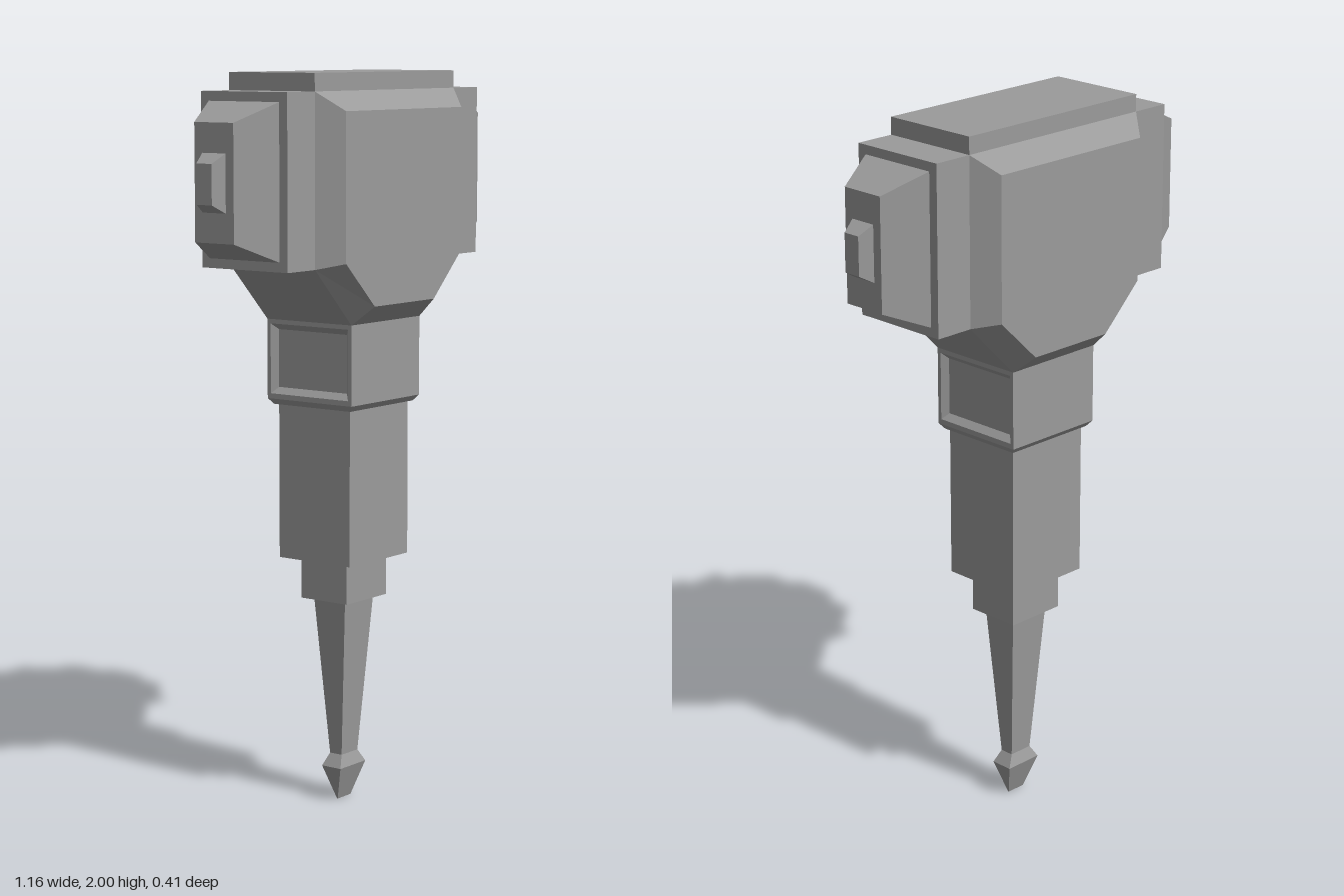
import * as THREE from 'three';

const material = new THREE.MeshStandardMaterial({ color: 0x9b9b9b, flatShading: true });

// Skin a series of counter-clockwise rings of [x, y, z] points, closing both ends.
function loft(name, rings) {
  const pos = [];
  const tri = (a, b, c) => pos.push(...a, ...b, ...c);
  const n = rings[0].length;
  for (let i = 0; i < rings.length - 1; i++) {
    const r = rings[i], s = rings[i + 1];
    for (let j = 0; j < n; j++) {
      const k = (j + 1) % n;
      tri(r[j], r[k], s[k]);
      tri(r[j], s[k], s[j]);
    }
  }
  const first = rings[0], last = rings[rings.length - 1];
  for (let j = 1; j < n - 1; j++) {
    tri(first[0], first[j + 1], first[j]);
    tri(last[0], last[j], last[j + 1]);
  }
  const geometry = new THREE.BufferGeometry();
  geometry.setAttribute('position', new THREE.Float32BufferAttribute(pos, 3));
  geometry.computeVertexNormals();
  const mesh = new THREE.Mesh(geometry, material);
  mesh.name = name;
  return mesh;
}

// Rectangle at height y with half sizes x and z.
const rectY = ([y, x, z]) => [[-x, y, -z], [-x, y, z], [x, y, z], [x, y, -z]];
// Rectangle at position x from y0 to y1 with half depth z.
const rectX = ([x, y0, y1, z]) => [[x, y0, -z], [x, y1, -z], [x, y1, z], [x, y0, z]];
// Head outline at depth z: a rectangle with its lower corners cut.
const headRing = ([z, w, top, cut, bottomW, bottom]) => [
  [-bottomW, bottom, z], [bottomW, bottom, z], [w, cut, z],
  [w, top, z], [-w, top, z], [-w, cut, z],
];

const column = (name, sections) => loft(name, sections.map(rectY));
const sideways = (name, sections) => loft(name, sections.map(rectX));

export function createModel() {
  const model = new THREE.Group();
  model.name = 'hammer';

  // Head with bevelled front and back faces
  const face = [0.257, 1.903, 1.512, 0.133, 1.392];
  const edge = [0.308, 1.953, 1.497, 0.153, 1.34];
  model.add(loft('head', [
    [-0.204, ...face], [-0.142, ...edge], [0.142, ...edge], [0.204, ...face],
  ].map(headRing)));
  model.add(column('topPlate', [[1.953, 0.308, 0.142], [2, 0.308, 0.142]]));

  // Striking ends, mirrored by a half turn
  for (const side of ['left', 'right']) {
    const end = new THREE.Group();
    end.name = side + 'End';
    end.add(
      sideways('block', [[0.3, 1.497, 1.953, 0.142], [0.421, 1.497, 1.953, 0.142]]),
      sideways('taper', [[0.421, 1.522, 1.928, 0.116], [0.54, 1.573, 1.878, 0.064]]),
      sideways('nub', [[0.54, 1.65, 1.801, 0.038], [0.579, 1.672, 1.776, 0.025]]),
    );
    if (side === 'right') end.rotation.y = Math.PI;
    model.add(end);
  }

  // Neck with a recessed panel on each side
  const floor = [1.155, 1.312, 0.115], rim = [1.138, 1.328, 0.131], outer = [1.124, 1.34, 0.142];
  model.add(sideways('neck', [
    [-0.137, ...floor], [-0.153, ...rim], [-0.153, ...outer],
    [0.153, ...outer], [0.153, ...rim], [0.137, ...floor],
  ]));
  model.add(column('neckBevel', [[1.108, 0.141, 0.129], [1.124, 0.153, 0.142]]));

  // Handle, stepping down to a spike
  model.add(column('grip', [[0.685, 0.131, 0.12], [1.108, 0.131, 0.12]]));
  model.add(column('collar', [[0.57, 0.089, 0.078], [0.685, 0.089, 0.078]]));
  model.add(column('spike', [
    [0, 0.029, 0.001], [0.096, 0.057, 0.032], [0.13, 0.036, 0.02], [0.57, 0.064, 0.053],
  ]));

  return model;
}
